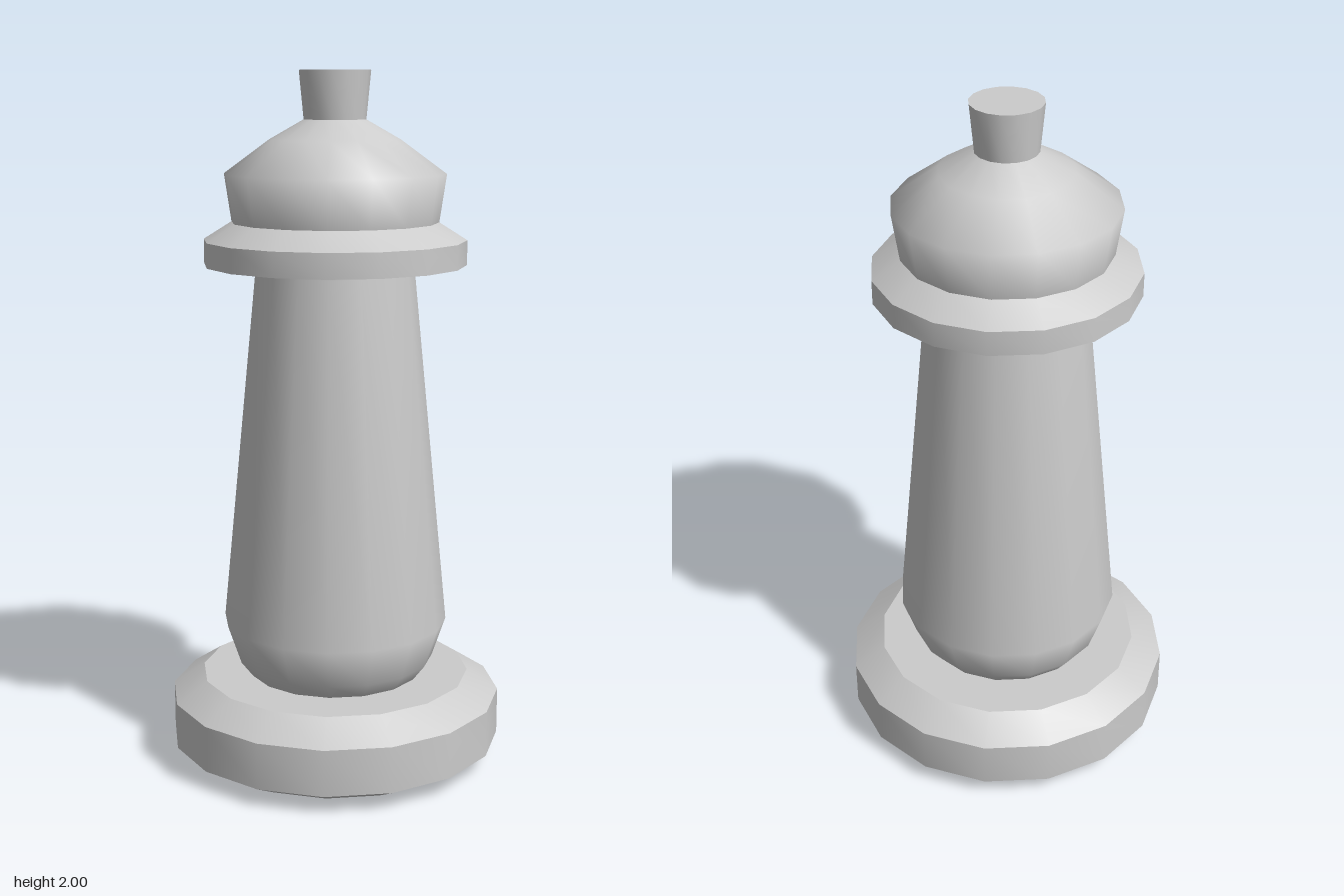
import * as THREE from 'three';
import { toCreasedNormals } from 'three/addons/utils/BufferGeometryUtils.js';

const SIDES = 16;

export function createModel() {
  const group = new THREE.Group();
  const material = new THREE.MeshStandardMaterial({ color: 0xcccccc, side: THREE.DoubleSide });

  // Turn a [radius, height] profile, listed from bottom to top, around the y axis
  function turned(name, profile, creased) {
    let geometry = new THREE.LatheGeometry(profile.map(([r, y]) => new THREE.Vector2(r, y)), SIDES);
    if (creased) geometry = toCreasedNormals(geometry, THREE.MathUtils.degToRad(25));
    const mesh = new THREE.Mesh(geometry, material);
    mesh.name = name;
    group.add(mesh);
  }

  // Foot disc with chamfered rims
  turned('base', [[0, 0], [0.39, 0.005], [0.487, 0.055], [0.487, 0.19], [0.395, 0.25], [0, 0.25]], true);

  // Tapered shaft, rounded at the foot and flaring under the collar
  turned('shaft', [[0.255, 0.25], [0.29, 0.295], [0.329, 0.41], [0.228, 1.44], [0.213, 1.46], [0.3, 1.535]], false);

  // Collar with hollowed underside and sloped top
  turned('collar', [[0.3, 1.535], [0.375, 1.46], [0.375, 1.53], [0.295, 1.58]], true);

  // Domed head
  turned('head', [[0.295, 1.58], [0.315, 1.715], [0.185, 1.81], [0.088, 1.865]], false);

  // Flared knob on top
  turned('knob', [[0.088, 1.865], [0.101, 2], [0, 2]], true);

  return group;
}
